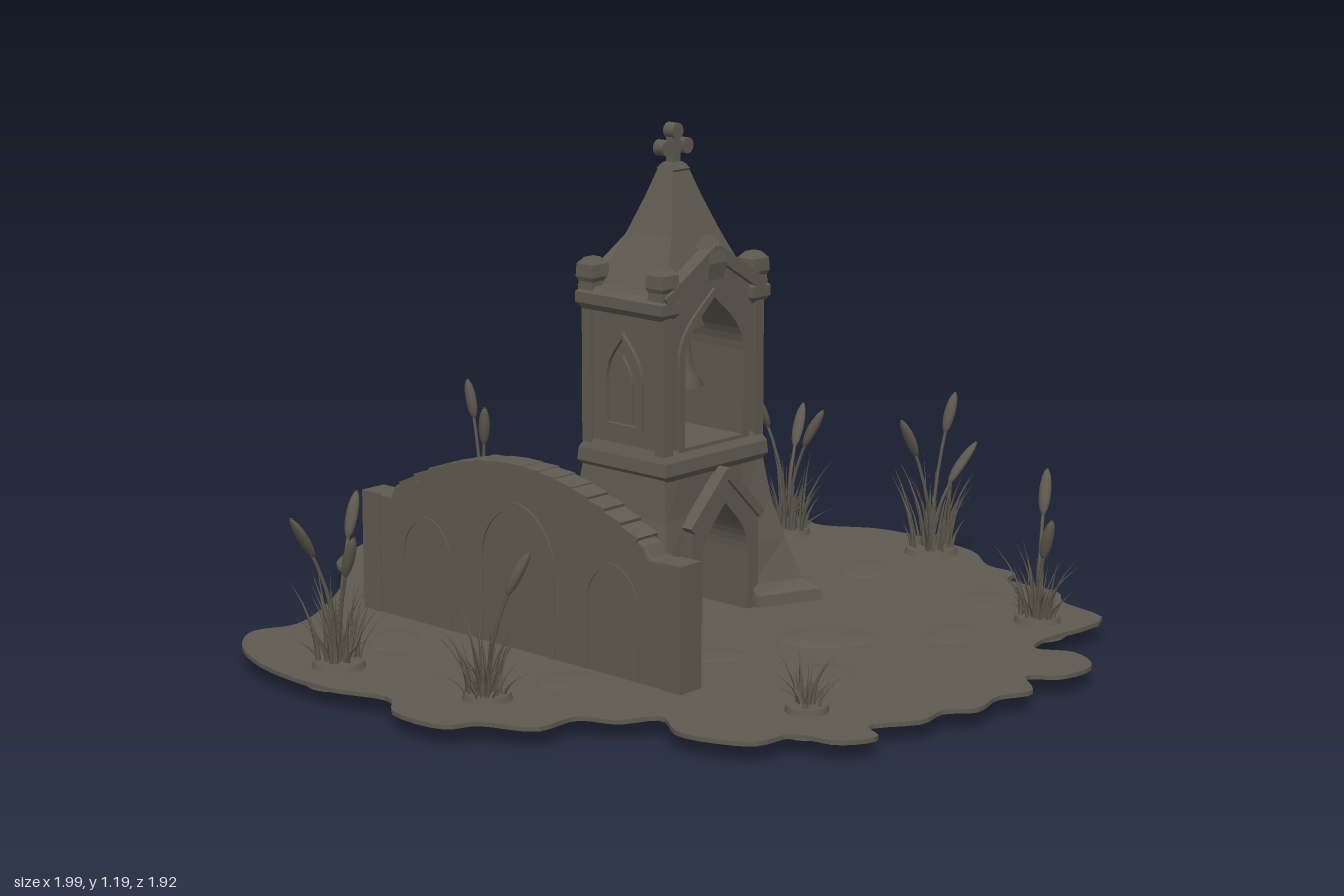
import * as THREE from 'three';
import { mergeGeometries } from 'three/addons/utils/BufferGeometryUtils.js';

const stone = new THREE.MeshStandardMaterial({ color: 0x5f5a50, side: THREE.DoubleSide });
stone.name = 'weathered grey brown';

const CX = -0.045, CZ = -0.06; // tower centre

let seed = 7;
const rnd = (a = 0, b = 1) => {
  seed = (seed * 16807) % 2147483647;
  return a + (b - a) * (seed / 2147483647);
};

function add(parent, name, geometry, x = 0, y = 0, z = 0) {
  const m = new THREE.Mesh(geometry, stone);
  m.name = name;
  m.position.set(x, y, z);
  parent.add(m);
  return m;
}

const box = (w, h, d) => new THREE.BoxGeometry(w, h, d);

// Flat-sided solid through rings of points, counter-clockwise from above
function loft(rings) {
  const pos = [], n = rings[0].length;
  const tri = (...p) => p.forEach(q => pos.push(...q));
  for (let i = 0; i < rings.length - 1; i++) {
    for (let j = 0; j < n; j++) {
      const k = (j + 1) % n, a = rings[i], b = rings[i + 1];
      tri(a[j], a[k], b[k]);
      tri(a[j], b[k], b[j]);
    }
  }
  const top = rings[rings.length - 1], base = rings[0];
  for (let j = 1; j < n - 1; j++) {
    tri(top[0], top[j], top[j + 1]);
    tri(base[0], base[j + 1], base[j]);
  }
  const g = new THREE.BufferGeometry();
  g.setAttribute('position', new THREE.Float32BufferAttribute(pos, 3));
  g.computeVertexNormals();
  return g;
}
const rect = (y, hx, hz) => [[hx, y, hz], [hx, y, -hz], [-hx, y, -hz], [-hx, y, hz]];

// Arch outline, round or pointed
function arch(cx, half, y0, spring, apex, pointed, path = new THREE.Path()) {
  const h = apex - spring, k = pointed ? 0.35 : 0.55, cy = pointed ? spring + 0.75 * h : apex;
  path.moveTo(cx - half, y0);
  path.lineTo(cx + half, y0);
  path.lineTo(cx + half, spring);
  path.bezierCurveTo(cx + half, spring + 0.5 * h, cx + k * half, cy, cx, apex);
  path.bezierCurveTo(cx - k * half, cy, cx - half, spring + 0.5 * h, cx - half, spring);
  path.closePath();
  return path;
}
const archShape = (...a) => arch(...a, new THREE.Shape());

// Extrusion centred on its depth; alongX turns the outline into the z-y plane
function slab(shape, depth, alongX = false, bevel = 0) {
  const g = new THREE.ExtrudeGeometry(shape, {
    depth: depth - 2 * bevel, curveSegments: 10, bevelEnabled: bevel > 0,
    bevelThickness: bevel, bevelSize: bevel, bevelOffset: -bevel, bevelSegments: 2
  });
  g.translate(0, 0, -depth / 2 + bevel);
  if (alongX) g.rotateY(-Math.PI / 2);
  return g;
}
const poly = pts => new THREE.Shape(pts.map(p => new THREE.Vector2(...p)));

function archFrame(cx, half, y0, spring, apex, pointed, w, depth, alongX) {
  const s = archShape(cx, half + w, y0, spring, apex + w, pointed);
  s.holes.push(arch(cx, half, y0 + 0.008, spring, apex, pointed));
  return slab(s, depth, alongX);
}

function ground(root) {
  const pts = [[-1, 0], [-.95, -.18], [-.87, -.24], [-.86, -.32], [-.72, -.48], [-.56, -.59], [-.53, -.69],
    [-.45, -.72], [-.46, -.83], [-.37, -.88], [-.26, -.85], [-.13, -.92], [0, -.935], [.19, -.91], [.3, -.83],
    [.39, -.82], [.41, -.76], [.57, -.75], [.63, -.69], [.78, -.64], [.78, -.4], [.81, -.34], [.89, -.375],
    [.98, -.32], [.975, -.21], [.92, -.16], [.995, -.08], [.965, 0], [.985, .1], [.94, .16], [.95, .24],
    [.89, .35], [.95, .39], [.91, .47], [.81, .5], [.79, .59], [.7, .64], [.62, .65], [.53, .6], [.48, .68],
    [.4, .72], [.39, .83], [.27, .89], [.24, .95], [.09, .96], [.01, .9], [-.13, .94], [-.24, .945],
    [-.4, .92], [-.53, .855], [-.59, .77], [-.56, .67], [-.62, .53], [-.71, .4], [-.8, .3], [-.9, .24], [-.96, .13]];
  const curve = new THREE.CatmullRomCurve3(pts.map(p => new THREE.Vector3(p[0], -p[1], 0)), true);
  const outline = new THREE.Shape(curve.getPoints(220).map(p => new THREE.Vector2(p.x, p.y)));
  const g = new THREE.ExtrudeGeometry(outline, { depth: 0.01, bevelEnabled: false });
  g.rotateX(-Math.PI / 2);
  add(root, 'ground', g, 0, 0.038, 0);
  // Low worn paving lumps
  const lumps = [[-.24, -.46, .12], [-.42, -.42, .08], [.41, -.08, .12], [.3, .2, .09], [.48, -.58, .08],
    [-.5, .15, .09], [-.55, -.25, .08], [.6, .15, .1], [-.3, .6, .09], [.2, .55, .08], [.1, -.6, .09], [.6, -.3, .09]];
  for (const [x, z, r] of lumps) {
    const m = add(root, 'pavingLump', new THREE.SphereGeometry(r, 14, 6, 0, Math.PI * 2, 0, Math.PI / 2), x, 0.046, z);
    m.scale.set(1, 0.09, 0.7);
    m.rotation.y = rnd(0, 3);
  }
}

function arcadeWall(root) {
  const wall = new THREE.Group();
  wall.name = 'arcadeWall';
  wall.position.set(CX, 0, 0.43);
  const half = [[.505, .33], [.41, .335], [.395, .36], [.32, .39], [.25, .425], [.15, .46], [.06, .475]];
  const s = poly([[-.505, .03], [.505, .03], ...half, ...half.map(([x, y]) => [-x, y]).reverse()]);
  s.holes.push(arch(0, .105, .04, .25, .37, false));
  for (const d of [-1, 1]) s.holes.push(arch(d * .295, .07, .04, .21, .29, false));
  add(wall, 'wall', slab(s, .06, false, .006));
  add(wall, 'centreArchTrim', archFrame(0, .105, .04, .25, .37, false, .018, .068));
  for (const d of [-1, 1]) {
    add(wall, 'sideArchTrim', archFrame(d * .295, .07, .04, .21, .29, false, .014, .066));
    add(wall, 'sideArchPanel', slab(archShape(d * .288, .064, .04, .17, .25, false), .03));
    add(wall, 'endPost', box(.06, .3, .068), d * .475, .183, 0);
  }
  // Uneven coping stones
  for (let i = -7; i <= 7; i++) {
    const x = i * .05, y = .472 - .75 * x * x;
    const c = add(wall, 'copingStone', box(.055, .016, .066), x, y - .004, 0);
    c.rotation.z = -1.5 * x * .7 + rnd(-.06, .06);
  }
  root.add(wall);
}

function towerBase(t) {
  // Core with a pointed passage through the sides
  const core = poly([[-.165, .03], [.165, .03], [.165, .42], [-.165, .42]]);
  core.holes.push(arch(0, .078, .04, .19, .32, true));
  add(t, 'baseCore', slab(core, .25, true));
  const porch = poly([[-.115, .03], [.115, .03], [.115, .27], [0, .385], [-.115, .27]]);
  porch.holes.push(arch(0, .078, .04, .19, .32, true));
  add(t, 'porch', slab(porch, .33, true));
  // Flared front and back walls with splayed corners
  const levels = [[.03, .25, .265, .18], [.075, .24, .255, .175], [.1, .205, .23, .16],
    [.2, .17, .205, .15], [.3, .145, .182, .135], [.41, .128, .168, .125]];
  const flare = loft(levels.map(([y, hx, z, hi]) => [[hx, y, z], [hi, y, .1], [-hi, y, .1], [-hx, y, z]]));
  for (const d of [0, 1]) add(t, 'flaredWall', flare).rotation.y = d * Math.PI;
  for (const sx of [-1, 1]) for (const sz of [-1, 1]) {
    // Sloping gable moulding
    const m = add(t, 'porchMoulding', box(.03, .022, .175), sx * .16, .335, sz * .058);
    m.rotation.x = sz * .78;
  }
  add(t, 'baseLedge', loft([rect(.39, .13, .165), rect(.405, .14, .178), rect(.435, .138, .175), rect(.46, .122, .165)]));
}

function belfry(t) {
  const s = poly([[-.165, .44], [.165, .44], [.165, .81], [0, .9], [-.165, .81]]);
  s.holes.push(arch(0, .1, .455, .66, .8, true));
  add(t, 'belfryWalls', slab(s, .245, true));
  for (const d of [-1, 1]) {
    add(t, 'openingTrim', archFrame(0, .1, .452, .66, .8, true, .02, .012, true), d * .124, 0, 0);
    add(t, 'nicheFrame', archFrame(0, .048, .5, .61, .71, true, .014, .016), 0, 0, d * .167);
    add(t, 'nichePanel', slab(archShape(0, .03, .515, .6, .67, true), .012), 0, 0, d * .167);
    add(t, 'cornice', loft([rect(.765, .125, .018), rect(.78, .138, .03), rect(.805, .138, .03), rect(.82, .12, .015)]), 0, 0, d * .155);
    // Gable crest on each open side
    add(t, 'gableFinial', loft([rect(.84, .02, .026), rect(.88, .03, .03), rect(.91, .027, .024), rect(.94, .008, .01)]), d * .112, 0, 0);
    for (const e of [-1, 1]) {
      add(t, 'gableMoulding', box(.036, .03, .2), d * .121, .858, e * .082).rotation.x = e * .55;
      add(t, 'cornerPinnacle', loft([rect(.78, .024, .026), rect(.83, .022, .024), rect(.84, .027, .028),
        rect(.87, .026, .026), rect(.885, .012, .014)]), d * .11, 0, e * .155);
      add(t, 'cornerPier', box(.03, .32, .03), d * .115, .61, e * .156);
    }
  }
  // Bell on its beam
  const profile = [[0, .742], [.022, .74], [.034, .72], [.039, .68], [.046, .63], [.056, .6], [.071, .575], [.06, .575], [.045, .61], [0, .7]];
  add(t, 'bell', new THREE.LatheGeometry(profile.map(p => new THREE.Vector2(...p)), 28));
  add(t, 'bellBeam', box(.035, .03, .21), 0, .718, 0);
  add(t, 'bellHanger', box(.025, .09, .03), 0, .77, 0);
  add(t, 'clapper', new THREE.SphereGeometry(.016, 12, 8), 0, .59, 0);
}

function spire(t) {
  add(t, 'spire', loft([rect(.81, .112, .15), rect(.87, .092, .118), rect(.94, .07, .082),
    rect(1.02, .043, .05), rect(1.095, .02, .024)]));
  add(t, 'spireCollar', loft([rect(1.075, .022, .024), rect(1.085, .027, .028), rect(1.1, .016, .016)]));
  add(t, 'crossUpright', box(.022, .1, .024), 0, 1.13, 0);
  add(t, 'crossArm', box(.022, .024, .09), 0, 1.135, 0);
  for (const [y, z] of [[1.172, 0], [1.135, .034], [1.135, -.034]]) {
    const knob = new THREE.CylinderGeometry(.019, .019, .03, 12).rotateZ(Math.PI / 2);
    add(t, 'crossKnob', knob, 0, y, z);
  }
}

// Bends a shape sideways in proportion to the square of its height
function bend(g, dx, dz, h) {
  const p = g.attributes.position;
  for (let i = 0; i < p.count; i++) {
    const k = Math.max(0, p.getY(i) / h) ** 2;
    p.setXYZ(i, p.getX(i) + dx * k, p.getY(i), p.getZ(i) + dz * k);
  }
  g.computeVertexNormals();
  return g;
}

function reedClump(root, [x, z, size, bottom, cattails]) {
  const c = new THREE.Group();
  c.name = 'reedClump';
  c.position.set(x, .05, z);
  const r = .075 * Math.max(.8, size);
  add(c, 'mound', new THREE.CylinderGeometry(r * .75, r, .062 - bottom, 16), 0, (bottom - .038) / 2, 0);
  const blades = [];
  for (let i = 0; i < 44 * size; i++) {
    const a = rnd(0, Math.PI * 2), h = rnd(.06, .21) * size, lean = rnd(.01, .085), q = rnd(0, .05) * size;
    const g = new THREE.ConeGeometry(.0075, h, 4, 4).scale(1, 1, .5).translate(0, h / 2, 0);
    g.rotateY(rnd(0, 3));
    bend(g, Math.cos(a) * lean, Math.sin(a) * lean, h);
    blades.push(g.translate(Math.cos(a) * q, 0, Math.sin(a) * q));
  }
  add(c, 'blades', mergeGeometries(blades));
  for (const [dx, dz, top] of cattails) {
    const h = top - .05;
    const stalk = new THREE.CylinderGeometry(.004, .005, h, 5, 6).translate(0, h / 2, 0);
    const head = new THREE.SphereGeometry(.5, 8, 8).scale(.032, .1, .024).translate(0, h - .05, 0);
    add(c, 'cattailStalk', bend(stalk, dx, dz, h));
    add(c, 'cattailHead', bend(head, dx, dz, h));
  }
  root.add(c);
}

export function createModel() {
  const root = new THREE.Group();
  root.name = 'ruinedBellTower';
  ground(root);
  arcadeWall(root);
  const tower = new THREE.Group();
  tower.name = 'bellTower';
  tower.position.set(CX, 0, CZ);
  towerBase(tower);
  belfry(tower);
  spire(tower);
  root.add(tower);
  // Clumps: x, z, size, underside height, cattails as lean and height
  [[-.27, -.73, 1, .015, [[-.03, .1, .43], [.1, -.02, .38], [-.05, -.12, .36]]],
    [.12, -.83, 1.1, .015, [[.02, -.06, .45], [-.02, .1, .4], [.05, -.11, .32]]],
    [.68, -.52, .9, .015, [[-.04, -.08, .39], [.05, .02, .3]]],
    [-.76, -.13, 1, .015, [[-.03, .02, .47], [.04, .03, .41]]],
    [.73, .36, .6, 0, []],
    [-.24, .82, 1, .01, [[-.02, -.08, .43], [.08, .02, .36], [0, .13, .41]]],
    [.17, .76, .9, .015, [[.09, -.04, .38]]]].forEach(c => reedClump(root, c));
  return root;
}
